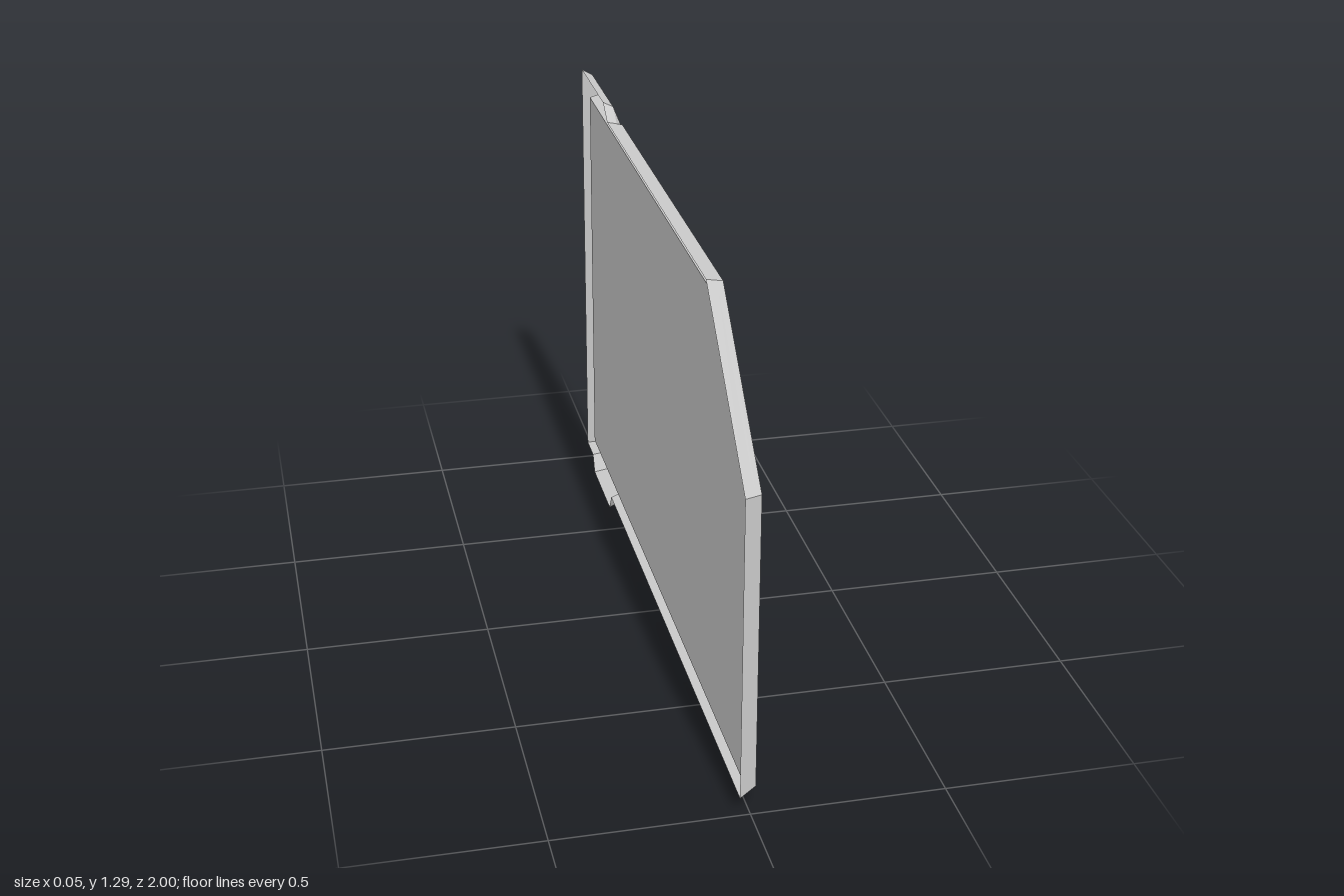
import * as THREE from 'three';

const mat = () => new THREE.MeshStandardMaterial({ color: 0xcccccc, side: THREE.DoubleSide, flatShading: true });

// Strip between two outlines of [z, y] points lying at two x positions
function loft(a, xa, b, xb) {
  const pos = [];
  for (let i = 0; i < a.length; i++) {
    const j = (i + 1) % a.length;
    const p = [xa, a[i][1], a[i][0]], q = [xa, a[j][1], a[j][0]];
    const r = [xb, b[j][1], b[j][0]], s = [xb, b[i][1], b[i][0]];
    pos.push(...p, ...s, ...r, ...p, ...r, ...q);
  }
  const g = new THREE.BufferGeometry();
  g.setAttribute('position', new THREE.Float32BufferAttribute(pos, 3));
  g.computeVertexNormals();
  return g;
}

// Flat face towards +x from a [z, y] outline, with an optional hole
function face(outline, x, hole) {
  const pts = (o) => o.map(([z, y]) => new THREE.Vector2(-z, y));
  const shape = new THREE.Shape(pts(outline));
  if (hole) shape.holes.push(new THREE.Path(pts(hole)));
  return new THREE.ShapeGeometry(shape).rotateY(Math.PI / 2).translate(x, 0, 0);
}

export function createModel() {
  const group = new THREE.Group();
  const add = (name, geo) => {
    const m = new THREE.Mesh(geo, mat());
    m.name = name;
    group.add(m);
    return m;
  };

  // Outlines: open back edge, front edge, recess opening and screen
  const back = [[1, 0.05], [1, 0.87], [0.6, 1.25], [-0.61, 1.25], [-0.67, 1.29], [-1, 1.29],
    [-1, 0.05], [-0.91, 0.05], [-0.885, 0], [-0.64, 0], [-0.61, 0.05]];
  const front = [[0.975, 0.063], [0.975, 0.864], [0.584, 1.236], [-0.622, 1.236], [-0.64, 1.228], [-0.977, 1.228],
    [-0.977, 0.063], [-0.896, 0.063], [-0.872, 0.015], [-0.647, 0.015], [-0.62, 0.063]];
  const opening = [[0.958, 0.073], [0.958, 0.86], [0.571, 1.224], [-0.957, 1.224], [-0.957, 0.073]];
  const screen = [[0.951, 0.079], [0.951, 0.857], [0.568, 1.218], [-0.951, 1.218], [-0.951, 0.079]];
  const xBack = -0.027, xFold = 0.002, xFront = 0.019, xScreen = -0.013;

  // The walls run straight from back to front, but fold along the top tab
  const t = (xFold - xBack) / (xFront - xBack);
  const fold = back.map(([z, y], i) => [z + (front[i][0] - z) * t, y + (front[i][1] - y) * t]);
  fold[4] = [-0.669, 1.276];
  fold[5][1] = 1.276;

  // Thin flared shell, open at the back
  add('shellWall', loft(back, xBack, fold, xFold));
  add('shellBevel', loft(fold, xFold, front, xFront));
  add('bezel', face(front, xFront, opening));

  // Deep recess with the panel at its bottom
  add('recessWall', loft(opening, xFront, screen, xScreen));
  add('screen', face(screen, xScreen));
  add('lowerTrim', new THREE.BoxGeometry(0.004, 0.008, 0.59)).position.set(0.018, 0.075, -0.595);

  // Controls on the bottom tab
  const ring = add('ringButton', new THREE.TorusGeometry(0.012, 0.003, 6, 16).rotateY(Math.PI / 2));
  ring.position.set(0.021, 0.043, -0.658);
  const knob = add('smallButton', new THREE.CylinderGeometry(0.008, 0.008, 0.008, 12).rotateZ(Math.PI / 2));
  knob.position.set(0.021, 0.037, -0.692);
  const bar = (y, z, h, d) => add('slotFrame', new THREE.BoxGeometry(0.007, h, d)).position.set(0.021, y, z);
  for (const y of [0.032, 0.052]) bar(y, -0.77, 0.004, 0.1);
  for (const z of [-0.722, -0.818]) bar(0.042, z, 0.02, 0.004);
  return group;
}
